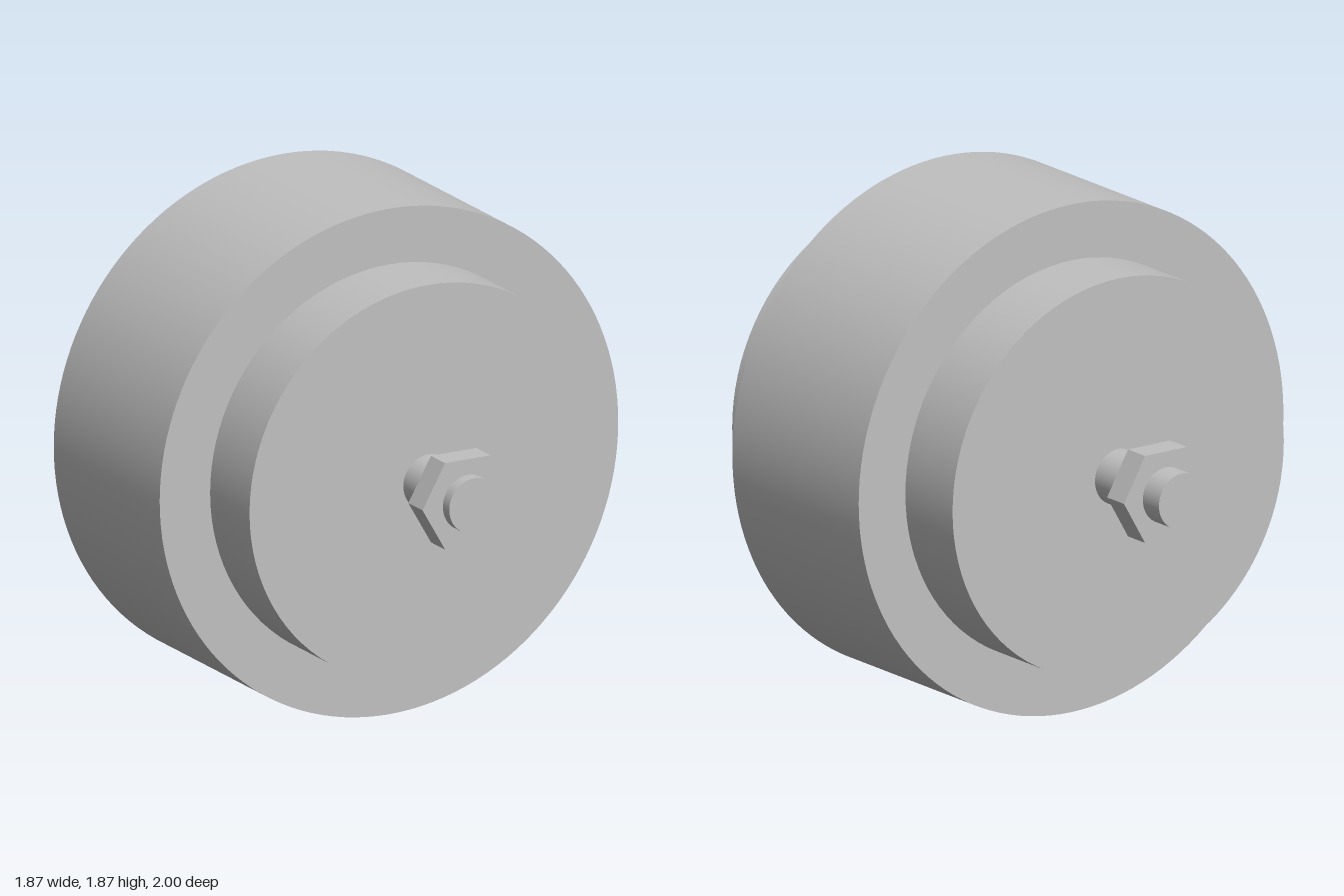
import * as THREE from 'three';

const AXIS_Y = 0.936;

export function createModel() {
  const group = new THREE.Group();
  const grey = new THREE.MeshStandardMaterial({ color: 0xc0c0c0 });
  grey.name = 'light grey metal';

  // Cylinder lying along z between two depths
  function disc(name, radius, z0, z1, sides = 96) {
    let geo = new THREE.CylinderGeometry(radius, radius, z1 - z0, sides, 1, false, Math.PI / 2);
    geo.rotateX(Math.PI / 2);
    if (sides < 12) { // crisp flats on the nuts
      geo = geo.toNonIndexed();
      geo.computeVertexNormals();
    }
    const mesh = new THREE.Mesh(geo, grey);
    mesh.name = name;
    mesh.position.set(0, AXIS_Y, (z0 + z1) / 2);
    group.add(mesh);
  }

  // Wide central drum
  disc('drum', 0.936, -0.345, 0.4, 128);

  // Stepped end caps
  disc('frontCap', 0.73, 0.4, 0.677);
  disc('backCap', 0.73, -0.623, -0.345);

  // Studs on the axis
  disc('frontStud', 0.102, 0.677, 1, 48);
  disc('backStud', 0.102, -1, -0.623, 48);

  // Hexagonal nuts
  disc('frontNut', 0.185, 0.855, 0.955, 6);
  disc('backNut', 0.185, -0.905, -0.805, 6);

  return group;
}
